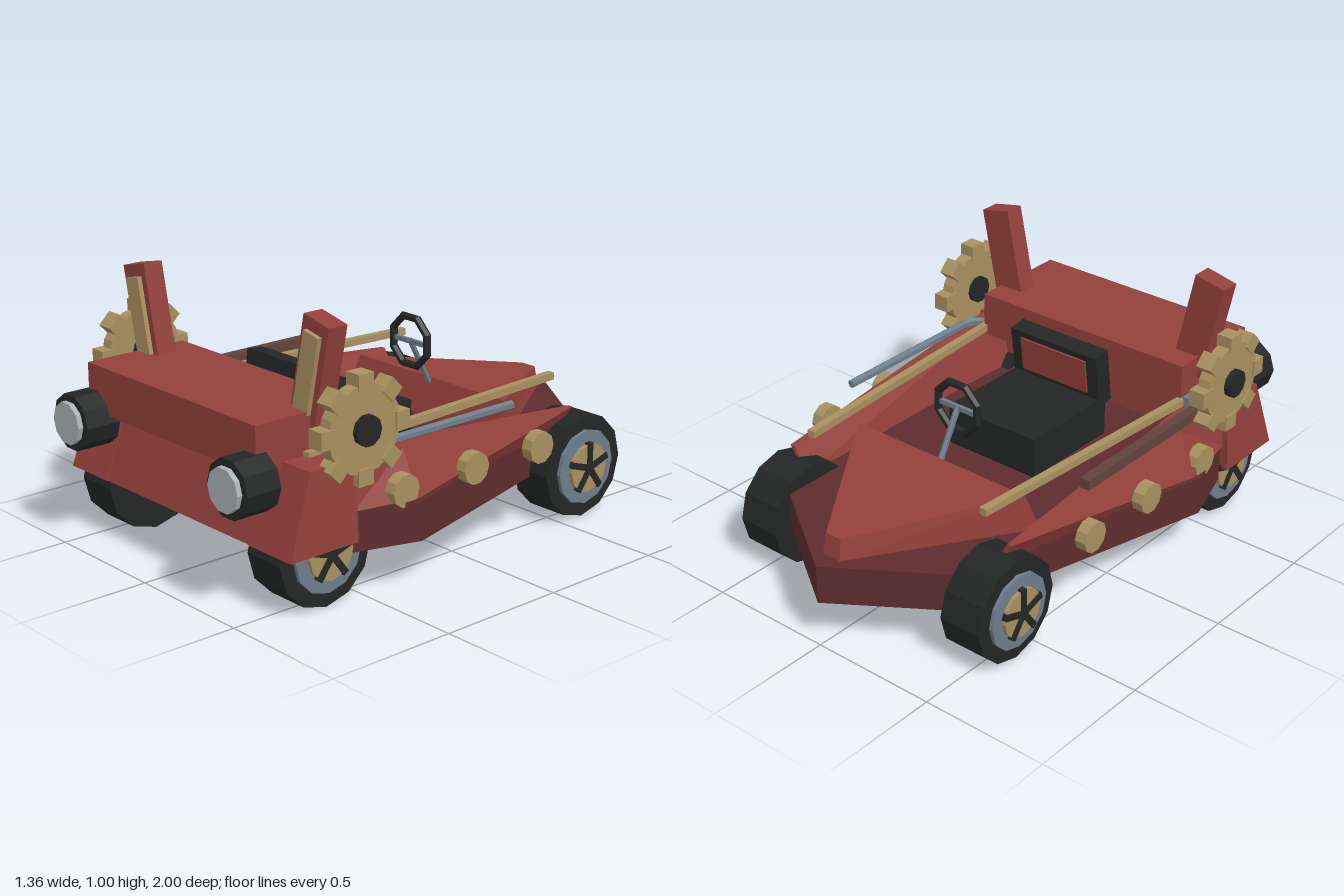
import * as THREE from 'three';

const mat = (name, color) => {
  const m = new THREE.MeshStandardMaterial({ color });
  m.name = name;
  return m;
};

export function createModel() {
  const red = mat('body red', 0x93403a);
  const maroon = mat('hull maroon', 0x5e2c2e);
  const brass = mat('brass', 0xa89060);
  const black = mat('black', 0x242626);
  const steel = mat('blue steel', 0x6c7d8a);
  const brown = mat('dark brown', 0x61433a);
  const glass = mat('lamp glass', 0xa8b2b4);
  const model = new THREE.Group();
  model.name = 'buggy';

  // Faceted mesh: every face gets its own normal
  const add = (name, geo, material, pos = [0, 0, 0], rot = [0, 0, 0], parent = model) => {
    const g = geo.index ? geo.toNonIndexed() : geo;
    g.computeVertexNormals();
    const mesh = new THREE.Mesh(g, material);
    mesh.name = name;
    mesh.position.set(...pos);
    mesh.rotation.set(...rot);
    parent.add(mesh);
    return mesh;
  };
  const box = (w, h, d) => new THREE.BoxGeometry(w, h, d);
  // Disc whose axis runs along x
  const disc = (r, w, n) => new THREE.CylinderGeometry(r, r, w, n).rotateZ(-Math.PI / 2);

  // Solid through convex loops of [x, y, z] points, wound outward by its volume
  const loft = (...loops) => {
    const tris = [];
    const n = loops[0].length;
    for (let k = 0; k < loops.length - 1; k++) {
      const a = loops[k], b = loops[k + 1];
      for (let i = 0; i < n; i++) {
        const j = (i + 1) % n;
        tris.push([a[i], a[j], b[j]], [a[i], b[j], b[i]]);
      }
    }
    const first = loops[0], last = loops[loops.length - 1];
    for (let i = 1; i < n - 1; i++) {
      tris.push([first[0], first[i + 1], first[i]], [last[0], last[i], last[i + 1]]);
    }
    const v = (p) => new THREE.Vector3(...p);
    const o = v(first[0]);
    let volume = 0;
    for (const [a, b, c] of tris) volume += v(a).sub(o).dot(v(b).sub(o).cross(v(c).sub(o)));
    if (volume < 0) tris.forEach((t) => t.reverse());
    const geo = new THREE.BufferGeometry();
    geo.setAttribute('position', new THREE.Float32BufferAttribute(tris.flat(2), 3));
    return geo;
  };

  // Hull: flat pointed slab
  const plan = [[0, -1], [0.4, -0.73], [0.68, 0.32], [0.6, 0.57], [-0.6, 0.57], [-0.68, 0.32], [-0.4, -0.73]];
  const level = (y) => plan.map(([x, z]) => [x, y, z]);
  add('hull', loft(level(0.18), level(0.33)), maroon);

  // Wedge-shaped tail deck
  add('tailDeck', loft(
    [[-0.44, 0.33, -0.32], [0.44, 0.33, -0.32], [0.04, 0.33, -0.925], [-0.04, 0.33, -0.925]],
    [[-0.4, 0.47, -0.36], [0.4, 0.47, -0.36], [0.035, 0.41, -0.91], [-0.035, 0.41, -0.91]]), red);

  // Bonnet and sloped apron with an open slot between them
  add('bonnet', box(0.96, 0.175, 0.42), red, [0, 0.5825, 0.67]);
  add('apron', loft(
    [[-0.53, 0.23, 0.57], [0.53, 0.23, 0.57], [0.53, 0.23, 0.86], [-0.53, 0.23, 0.86]],
    [[-0.53, 0.465, 0.57], [0.53, 0.465, 0.57], [0.53, 0.465, 0.78], [-0.53, 0.465, 0.78]]), red);

  // Seat with a red back pad
  add('seatBase', box(0.41, 0.16, 0.43), black, [0, 0.41, 0.145]);
  const back = new THREE.Group();
  back.name = 'seatBack';
  back.position.set(0, 0.57, 0.345);
  back.rotation.x = -0.13;
  model.add(back);
  add('backFrame', box(0.41, 0.22, 0.075), black, [0, 0, 0], [0, 0, 0], back);
  add('backPad', box(0.31, 0.14, 0.009), red, [0, 0.015, -0.041], [0, 0, 0], back);

  // Steering wheel, spoke and slanted column
  add('steeringWheel', new THREE.TorusGeometry(0.1, 0.016, 6, 8).rotateZ(Math.PI / 8), black, [0, 0.635, -0.255]);
  add('steeringSpoke', box(0.18, 0.018, 0.015), steel, [0, 0.635, -0.255]);
  add('steeringColumn', new THREE.CylinderGeometry(0.012, 0.012, 0.22, 6), steel, [0, 0.545, -0.305], [0.5, 0, 0]);

  // Wheel with rim, brass hub and five spokes on the outer side
  const addWheel = (name, side, z) => {
    const w = new THREE.Group();
    w.name = name;
    w.position.set(side * 0.4875, 0.2, z);
    model.add(w);
    add('tyre', disc(0.2, 0.17, 12), black, [0, 0, 0], [0, 0, 0], w);
    add('rim', disc(0.145, 0.03, 12), steel, [side * 0.085, 0, 0], [0, 0, 0], w);
    add('hubDisc', disc(0.095, 0.03, 12), brass, [side * 0.1, 0, 0], [0, 0, 0], w);
    for (let i = 0; i < 5; i++) {
      const a = (i * Math.PI * 2) / 5;
      add('spoke', box(0.02, 0.1, 0.024).translate(0, 0.05, 0), black, [side * 0.112, 0, 0], [a, 0, 0], w);
    }
  };

  for (const s of [1, -1]) {
    const label = s > 0 ? 'left' : 'right';

    // Tapering side pod
    const section = (z, ob, ib, it, ot, top) =>
      [[s * ob, 0.33, z], [s * ib, 0.33, z], [s * it, top, z], [s * ot, top, z]];
    add(label + 'SidePod', loft(
      section(-0.59, 0.47, 0.45, 0.51, 0.53, 0.43),
      section(0.32, 0.66, 0.45, 0.49, 0.58, 0.495),
      section(0.57, 0.61, 0.44, 0.48, 0.585, 0.515)), red);

    // Front corner block with sloped face
    add(label + 'FrontCorner', loft(
      [[s * 0.41, 0.23, 0.57], [s * 0.635, 0.23, 0.57], [s * 0.635, 0.23, 0.865], [s * 0.41, 0.23, 0.865]],
      [[s * 0.41, 0.52, 0.57], [s * 0.62, 0.52, 0.57], [s * 0.62, 0.52, 0.765], [s * 0.41, 0.52, 0.765]]), red);

    // Headlamp
    add(label + 'Headlamp', new THREE.CylinderGeometry(0.107, 0.107, 0.14, 10)
      .rotateY(Math.PI / 2).rotateX(Math.PI / 2), black, [s * 0.455, 0.47, 0.91]);
    add(label + 'HeadlampLens', new THREE.CylinderGeometry(0.08, 0.08, 0.03, 10)
      .rotateY(Math.PI / 2).rotateX(Math.PI / 2), glass, [s * 0.455, 0.47, 0.985]);

    // Leaning post with brass face plate
    const post = new THREE.Group();
    post.name = label + 'Post';
    post.position.set(s * 0.47, 0.79, 0.605);
    post.rotation.z = -s * 0.21;
    model.add(post);
    add('postBody', box(0.13, 0.4, 0.08), red, [0, 0, 0], [0, 0, 0], post);
    add('postPlate', box(0.076, 0.31, 0.018), brass, [0, 0, 0.049], [0, 0, 0], post);

    // Handrail running along the cockpit
    add(label + 'Rail', box(0.03, 0.028, 1.28), brass, [s * 0.452, 0.523, 0.04], [0, s * 0.066, 0]);

    // Large gear on the flank
    const gear = new THREE.Group();
    gear.name = label + 'Gear';
    gear.position.set(s * 0.62, 0.625, 0.55);
    model.add(gear);
    add('gearDisc', disc(0.158, 0.05, 16), brass, [0, 0, 0], [0, 0, 0], gear);
    for (let i = 0; i < 8; i++) {
      add('tooth', box(0.064, 0.06, 0.065).translate(0, 0.165, 0), brass,
        [0, 0, 0], [(i * Math.PI) / 4, 0, 0], gear);
    }
    add('gearHub', disc(0.055, 0.09, 10), black, [s * 0.003, 0, 0], [0, 0, 0], gear);

    // Row of brass studs
    for (const z of [0.375, 0.04, -0.29]) add(label + 'Stud', disc(0.06, 0.045, 10), brass, [s * 0.638, 0.37, z]);

    addWheel(label + 'FrontWheel', s, 0.66);
    addWheel(label + 'RearWheel', s, -0.615);
  }

  // Exhaust pipe on the left with an inward bend
  const path = new THREE.CurvePath();
  const p = (x, y, z) => new THREE.Vector3(x, y, z);
  path.add(new THREE.LineCurve3(p(0.56, 0.523, -0.23), p(0.56, 0.523, 0.42)));
  path.add(new THREE.QuadraticBezierCurve3(p(0.56, 0.523, 0.42), p(0.56, 0.523, 0.48), p(0.5, 0.523, 0.5)));
  add('exhaustPipe', new THREE.TubeGeometry(path, 24, 0.017, 6), steel);
  add('exhaustCap', new THREE.CircleGeometry(0.017, 6), steel, [0.56, 0.523, -0.23], [0, Math.PI, 0]);

  // Launcher bar and its steel housing on the right
  add('sideBar', box(0.04, 0.04, 0.7), brown, [-0.565, 0.523, 0.115]);
  add('barHousing', box(0.1, 0.05, 0.18), steel, [-0.54, 0.522, 0.55]);

  return model;
}
